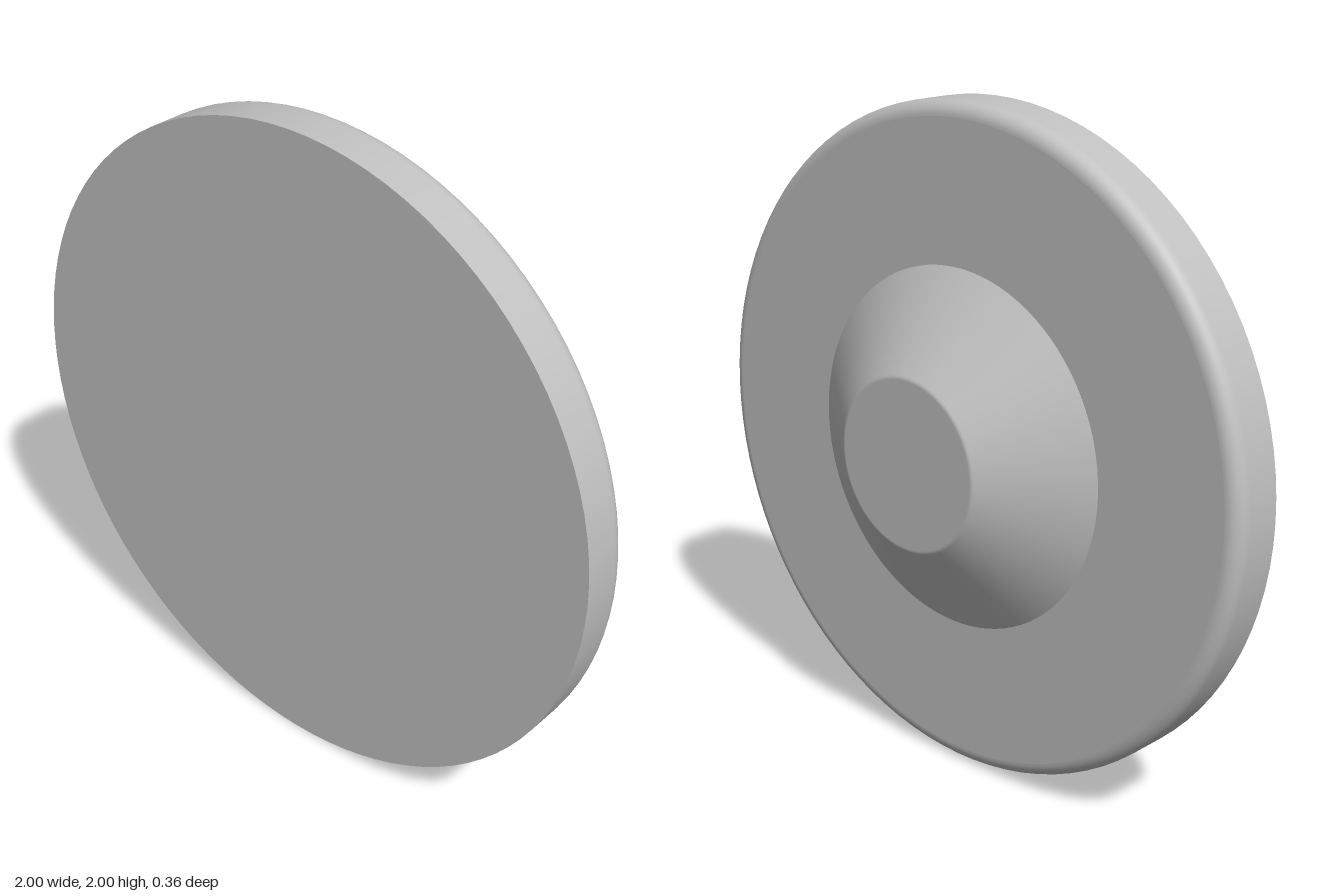
import * as THREE from 'three';

const SEGMENTS = 96;

// Points of a rounded corner between two angles, in (radius, height)
function arc(cx, cy, r, from, to, steps = 10) {
  return Array.from({ length: steps + 1 }, (_, i) => {
    const a = from + (to - from) * i / steps;
    return [cx + r * Math.cos(a), cy + r * Math.sin(a)];
  });
}

export function createModel() {
  const grey = new THREE.MeshStandardMaterial({ color: 0xc0c0c0 });
  grey.name = 'plain grey';

  const model = new THREE.Group();
  model.name = 'disc knob';

  // Each strip is turned on its own so that its edges stay sharp
  const turn = (name, parent, points) => {
    const profile = points.map(([r, h]) => new THREE.Vector2(r, h));
    const geometry = new THREE.LatheGeometry(profile, SEGMENTS);
    geometry.rotateX(-Math.PI / 2); // the axis points to the back
    const mesh = new THREE.Mesh(geometry, grey);
    mesh.name = name;
    parent.add(mesh);
  };

  // Round plate with a flat front and a rounded back rim
  const plate = new THREE.Group();
  plate.name = 'plate';
  const back = -0.018, fillet = 0.045;
  turn('frontFace', plate, [[0, -0.18], [1, -0.18]]);
  turn('outerWall', plate, [[1, -0.18], [1, back - fillet]]);
  turn('roundedRim', plate, arc(1 - fillet, back - fillet, fillet, 0, Math.PI / 2));
  turn('backFace', plate, [[1 - fillet, back], [0.54, back]]);

  // Tapered hub with a softened end edge
  const hub = new THREE.Group();
  hub.name = 'hub';
  const slope = Math.atan2(0.28, 0.198); // direction of the cone's normal
  const soft = 0.02, cx = 0.25, cy = 0.18 - soft;
  const edge = arc(cx, cy, soft, Math.PI / 2 - Math.atan2(0.198, 0.28), Math.PI / 2, 6);
  turn('hubCone', hub, [[0.54, back], edge[0]]);
  turn('hubEdge', hub, edge);
  turn('hubEnd', hub, [[cx, 0.18], [0, 0.18]]);

  model.add(plate, hub);
  model.position.y = 1;
  return model;
}
